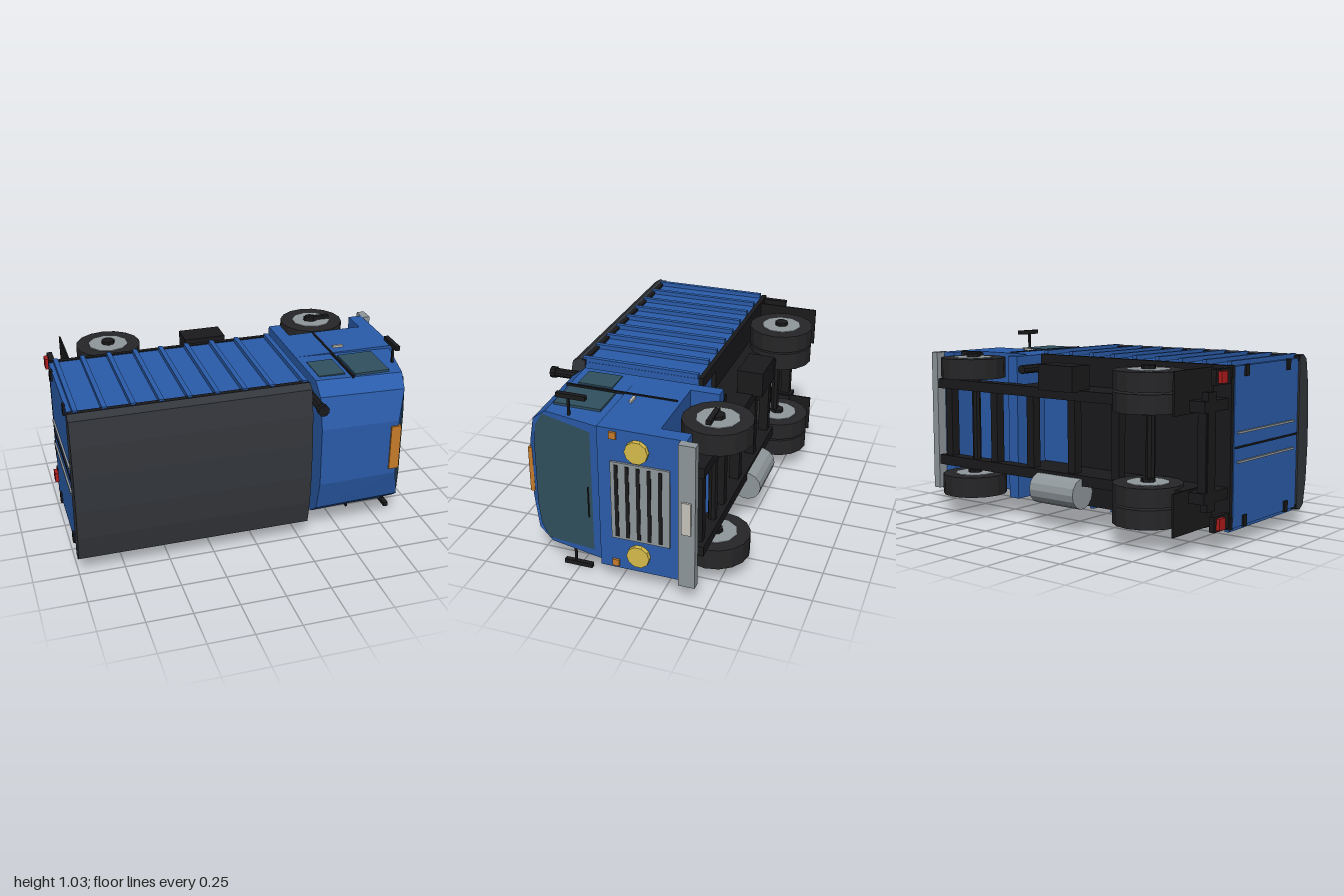
import * as THREE from 'three';

const mat = (color) => new THREE.MeshStandardMaterial({ color, flatShading: true });
const M = {
  blue: mat(0x2a5caa), canopy: mat(0x33363b), black: mat(0x1a1a1c), tyre: mat(0x262628), grey: mat(0x8f979b),
  yellow: mat(0xd8bc4a), orange: mat(0xc87d2c), glass: mat(0x30505f), red: mat(0xb01c1c), pale: mat(0xc9c5be),
};
M.glass.side = THREE.DoubleSide;

// The truck lies on its side: forward is +x, its roof faces +z, its width runs along y.
export function createModel() {
  const root = new THREE.Group();
  const truck = new THREE.Group();
  truck.name = 'truck';
  truck.position.y = 0.515;
  root.add(truck);

  const add = (name, geo, m) => {
    const mesh = new THREE.Mesh(geo, M[m]);
    mesh.name = name;
    truck.add(mesh);
    return mesh;
  };
  // Box from its limits along x, y (width) and z (height)
  const box = (name, m, x0, x1, y0, y1, z0, z1) =>
    add(name, new THREE.BoxGeometry(x1 - x0, y1 - y0, z1 - z0), m)
      .position.set((x0 + x1) / 2, (y0 + y1) / 2, (z0 + z1) / 2);
  // The same box on both sides of the truck
  const pair = (name, m, x0, x1, y0, y1, z0, z1) => {
    box(name + 'Left', m, x0, x1, y0, y1, z0, z1);
    box(name + 'Right', m, x0, x1, -y1, -y0, z0, z1);
  };
  const cyl = (name, m, axis, r, len, sides, x, y, z) => {
    const g = new THREE.CylinderGeometry(r, r, len, sides);
    if (axis === 'x') g.rotateZ(-Math.PI / 2);
    if (axis === 'z') g.rotateX(Math.PI / 2);
    add(name, g, m).position.set(x, y, z);
  };
  const shape = (pts) => new THREE.Shape(pts.map((p) => new THREE.Vector2(p[0], p[1])));
  // Mirrors half a cross-section (width, height), listed from bottom to top
  const section = (half) => shape([...half, ...half.slice().reverse().map(([w, h]) => [-w, h])]);
  const alongX = new THREE.Matrix4().makeBasis(
    new THREE.Vector3(0, 1, 0), new THREE.Vector3(0, 0, 1), new THREE.Vector3(1, 0, 0));
  const loft = (half, x0, x1) =>
    new THREE.ExtrudeGeometry(section(half), { depth: x1 - x0, bevelEnabled: false })
      .applyMatrix4(alongX).translate(x0, 0, 0);

  // Lower cab with wheel arches
  const lower = new THREE.ExtrudeGeometry(shape([
    [0.35, -0.38], [0.42, -0.38], [0.42, -0.22], [0.865, -0.22], [0.865, -0.38],
    [0.945, -0.38], [0.945, 0.09], [0.35, 0.09],
  ]), { depth: 0.82, bevelEnabled: false });
  add('lowerCab', lower.rotateX(Math.PI / 2).translate(0, 0.41, 0), 'blue');

  // Upper cab: rounded roof section with a raked, slightly narrowed front
  const frontX = (z) => (z > 0.5 ? 0.8 : 0.925 - 0.21 * (z - 0.08));
  const upper = loft([[0.41, 0.085], [0.41, 0.41], [0.345, 0.49], [0.17, 0.535]], 0.35, 0.92);
  const p = upper.attributes.position;
  for (let i = 0; i < p.count; i++) {
    if (p.getX(i) > 0.6) {
      p.setX(i, frontX(p.getZ(i)));
      p.setY(i, p.getY(i) * 0.96);
    }
  }
  upper.computeVertexNormals();
  add('upperCab', upper, 'blue');

  // Windscreen laid on the raked front
  const screen = new THREE.ShapeGeometry(
    section([[0.35, 0.14], [0.375, 0.43], [0.3, 0.475], [0.18, 0.49]])).applyMatrix4(alongX);
  const s = screen.attributes.position;
  for (let i = 0; i < s.count; i++) s.setX(i, frontX(s.getZ(i)) + 0.004);
  screen.computeVertexNormals();
  add('windscreen', screen, 'glass');
  box('wiper', 'black', 0.905, 0.918, -0.155, 0.025, 0.16, 0.166);

  // Doors, windows, mirrors and steps
  pair('rearSideWindow', 'glass', 0.385, 0.535, 0.4, 0.413, 0.175, 0.37);
  pair('frontSideWindow', 'glass', 0.585, 0.785, 0.4, 0.413, 0.135, 0.395);
  pair('doorSeam', 'black', 0.56, 0.571, 0.4, 0.416, -0.2, 0.42);
  pair('doorHandle', 'pale', 0.6, 0.66, 0.4, 0.422, 0.015, 0.03);
  pair('mirrorArm', 'black', 0.85, 0.862, 0.38, 0.5, 0.27, 0.282);
  pair('mirror', 'black', 0.842, 0.868, 0.49, 0.515, 0.18, 0.34);
  box('roofLamp', 'orange', 0.755, 0.812, -0.13, 0.135, 0.52, 0.545);

  // Front face: grille, lamps, bumper and plate
  box('grille', 'grey', 0.94, 0.956, -0.22, 0.23, -0.295, 0.02);
  for (let i = 0; i < 5; i++) {
    const z = -0.012 - i * 0.0585;
    box('grilleSlot', 'black', 0.945, 0.96, -0.205, 0.215, z - 0.01, z + 0.01);
  }
  for (const side of [1, -1]) {
    cyl('headlight', 'yellow', 'x', 0.062, 0.03, 10, 0.955, side * 0.307, -0.125);
    box('indicator', 'orange', 0.94, 0.957, side * 0.376 - 0.019, side * 0.376 + 0.019, -0.015, 0.022);
  }
  box('frontBumper', 'grey', 0.944, 0.99, -0.41, 0.41, -0.44, -0.35);
  box('plate', 'pale', 0.985, 1, -0.09, 0.095, -0.42, -0.37);

  // Cargo body with ribs, sill and arched canopy
  box('cargoBody', 'blue', -0.99, 0.29, -0.415, 0.415, -0.22, 0.44);
  for (let i = 0; i < 9; i++) {
    const x = i < 8 ? -0.952 + i * 0.149 : 0.275;
    pair('rib', 'blue', x - 0.013, x + 0.013, 0.41, 0.44, -0.215, 0.45);
  }
  pair('sill', 'black', -0.99, 0.29, 0.36, 0.42, -0.245, -0.219);
  pair('canopyRail', 'black', -0.998, 0.292, 0.4, 0.43, 0.43, 0.465);
  add('canopy', loft([[0.42, 0.435], [0.436, 0.47], [0.41, 0.508], [0.27, 0.533], [0.1, 0.544]], -1, 0.295), 'canopy');

  // Rear doors
  box('rearDoorSeam', 'black', -0.995, -0.985, -0.005, 0.005, -0.21, 0.43);
  pair('lockRod', 'grey', -1, -0.985, 0.07, 0.082, -0.19, 0.39);
  for (const z of [-0.13, 0.3]) pair('hinge', 'black', -1, -0.985, 0.36, 0.42, z, z + 0.035);
  pair('tailLight', 'red', -1, -0.97, 0.34, 0.4, -0.36, -0.305);
  pair('tailLightBracket', 'black', -0.98, -0.95, 0.33, 0.41, -0.38, -0.22);

  // Chassis
  pair('rail', 'black', -0.97, 0.915, 0.2, 0.257, -0.46, -0.38);
  pair('upperRail', 'black', -0.97, 0.29, 0.2, 0.257, -0.39, -0.22);
  box('floor', 'black', -0.985, 0.06, -0.4, 0.4, -0.245, -0.219);
  for (const x of [-0.94, -0.4, -0.1, 0.2, 0.48, 0.85])
    box('crossMember', 'black', x - 0.025, x + 0.025, -0.21, 0.21, -0.44, -0.385);
  box('rearBar', 'black', -0.97, -0.93, -0.3, 0.3, -0.43, -0.36);
  pair('mudflap', 'black', -0.878, -0.868, 0.19, 0.41, -0.59, -0.24);

  // Fuel box, silencer and exhaust stack
  box('batteryBox', 'black', -0.17, 0.07, 0.25, 0.39, -0.515, -0.37);
  cyl('silencer', 'grey', 'x', 0.085, 0.31, 14, -0.035, -0.3, -0.455);
  cyl('exhaustStack', 'black', 'z', 0.025, 1, 10, 0.317, 0.337, 0.12);
  cyl('exhaustCap', 'black', 'z', 0.032, 0.03, 10, 0.317, 0.337, 0.613);

  // Wheels: single at the front, twin at the back
  const wheel = (x, side, inner, outer) => {
    const mid = side * (inner + outer) / 2;
    cyl('tyre', 'tyre', 'y', 0.185, outer - inner, 16, x, mid, -0.44);
    cyl('rim', 'grey', 'y', 0.115, outer - inner + 0.008, 10, x, mid, -0.44);
    cyl('hub', 'black', 'y', 0.038, outer - inner + 0.045, 8, x, mid, -0.44);
  };
  for (const side of [1, -1]) {
    wheel(0.64, side, 0.28, 0.395);
    wheel(-0.615, side, 0.185, 0.285);
    wheel(-0.615, side, 0.295, 0.395);
  }
  pair('wheelBar', 'black', 0.59, 0.745, 0.405, 0.427, -0.435, -0.408);
  for (const x of [0.64, -0.615]) cyl('axle', 'black', 'y', 0.025, 0.7, 8, x, 0, -0.42);

  return root;
}
